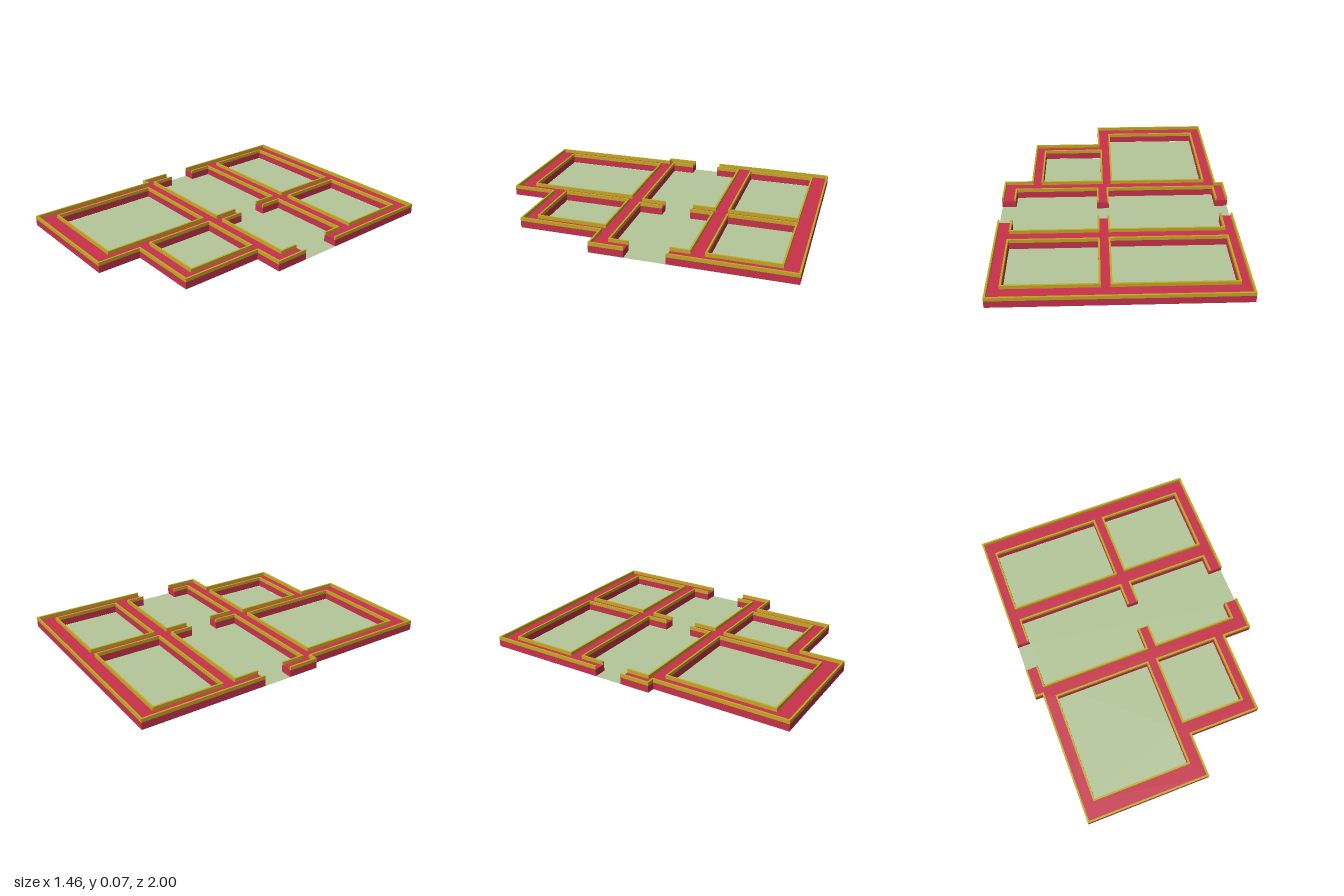
import * as THREE from 'three';

const WALL_TOP = 0.044, RIM_TOP = 0.066, RIM_WIDTH = 0.011;

const rect = (x0, z0, x1, z1) => [[x0, z0], [x1, z0], [x1, z1], [x0, z1]];
const toPoints = (list) => list.map(([x, z]) => new THREE.Vector2(x, z));

// Extrudes a plan outline (x, z) between two heights
function slab(outline, holes, bottom, top) {
  const shape = new THREE.Shape(outline);
  holes.forEach((h) => shape.holes.push(new THREE.Path(h)));
  const geo = new THREE.ExtrudeGeometry(shape, { depth: top - bottom, bevelEnabled: false });
  return geo.rotateX(Math.PI / 2).translate(0, top, 0);
}

// Mitred strips along an outline, on the wall side; edges listed in open stay bare
function addRim(group, points, isHole, open, material) {
  const n = points.length;
  const side = Math.sign(THREE.ShapeUtils.area(points)) * (isHole ? -1 : 1);
  const normal = (i) => {
    const d = points[(i + 1) % n].clone().sub(points[i % n]).normalize();
    return new THREE.Vector2(-d.y, d.x).multiplyScalar(side * RIM_WIDTH);
  };
  const inset = (vertex, edge, neighbour) => {
    const p = points[vertex].clone().add(normal(edge));
    return open.includes(neighbour) ? p : p.add(normal(neighbour));
  };
  for (let i = 0; i < n; i++) {
    if (open.includes(i)) continue;
    const next = (i + 1) % n, prev = (i + n - 1) % n;
    const strip = [points[i], points[next], inset(next, i, next), inset(i, i, prev)];
    const mesh = new THREE.Mesh(slab(strip, [], WALL_TOP, RIM_TOP), material);
    mesh.name = 'rimStrip';
    group.add(mesh);
  }
}

// One wing of walls with its raised rim
function makeWing(name, outline, rooms, open, wallMat, rimMat) {
  const wing = new THREE.Group();
  wing.name = name;
  const outer = toPoints(outline), holes = rooms.map(toPoints);
  const walls = new THREE.Mesh(slab(outer, holes, 0.0008, WALL_TOP), wallMat);
  walls.name = 'walls';
  const rim = new THREE.Group();
  rim.name = 'rim';
  addRim(rim, outer, false, open, rimMat);
  holes.forEach((h) => addRim(rim, h, true, [], rimMat));
  wing.add(walls, rim);
  return wing;
}

export function createModel() {
  const model = new THREE.Group();
  model.name = 'floorPlan';
  const wallMat = new THREE.MeshStandardMaterial({ color: 0xc8324a });
  const rimMat = new THREE.MeshStandardMaterial({ color: 0xc4a824 });
  const floorMat = new THREE.MeshStandardMaterial({ color: 0xb5c79a, side: THREE.DoubleSide });

  // Back wing: two rooms and three stubs facing the passage
  model.add(makeWing('backWing', [
    [-0.73, -1], [0.73, -1], [0.73, -0.26], [0.64, -0.26], [0.64, -0.37], [0.115, -0.37],
    [0.115, -0.23], [0.04, -0.23], [0.04, -0.37], [-0.65, -0.37], [-0.65, -0.22], [-0.73, -0.22],
  ], [rect(-0.655, -0.89, 0.04, -0.47), rect(0.115, -0.89, 0.645, -0.475)], [2, 6, 10], wallMat, rimMat));

  // Front wing: a large and a small room and the opposite stubs
  model.add(makeWing('frontWing', [
    [-0.73, -0.04], [-0.65, -0.04], [-0.65, 0.1], [0.04, 0.1], [0.04, -0.045], [0.115, -0.045],
    [0.115, 0.1], [0.64, 0.1], [0.64, -0.01], [0.73, -0.01], [0.73, 0.205], [0.55, 0.205],
    [0.55, 0.725], [0.1, 0.725], [0.1, 1], [-0.68, 1], [-0.68, 0.155], [-0.73, 0.155],
  ], [rect(-0.595, 0.2, 0.01, 0.88), rect(0.085, 0.2, 0.475, 0.63)], [0, 4, 8], wallMat, rimMat));

  // Thin floor under the rooms and out through the passage ends
  const floorShape = new THREE.Shape(toPoints([
    [-0.655, -0.89], [0.645, -0.89], [0.645, -0.26], [0.73, -0.26], [0.73, -0.01], [0.64, -0.01],
    [0.64, 0.1], [0.475, 0.2], [0.475, 0.63], [0.01, 0.63], [0.01, 0.88], [-0.595, 0.88],
    [-0.595, 0.1], [-0.65, 0.1], [-0.65, -0.04], [-0.73, -0.04], [-0.73, -0.22], [-0.655, -0.22],
  ]));
  const floor = new THREE.Mesh(new THREE.ShapeGeometry(floorShape).rotateX(Math.PI / 2), floorMat);
  floor.name = 'floor';
  model.add(floor);
  return model;
}
